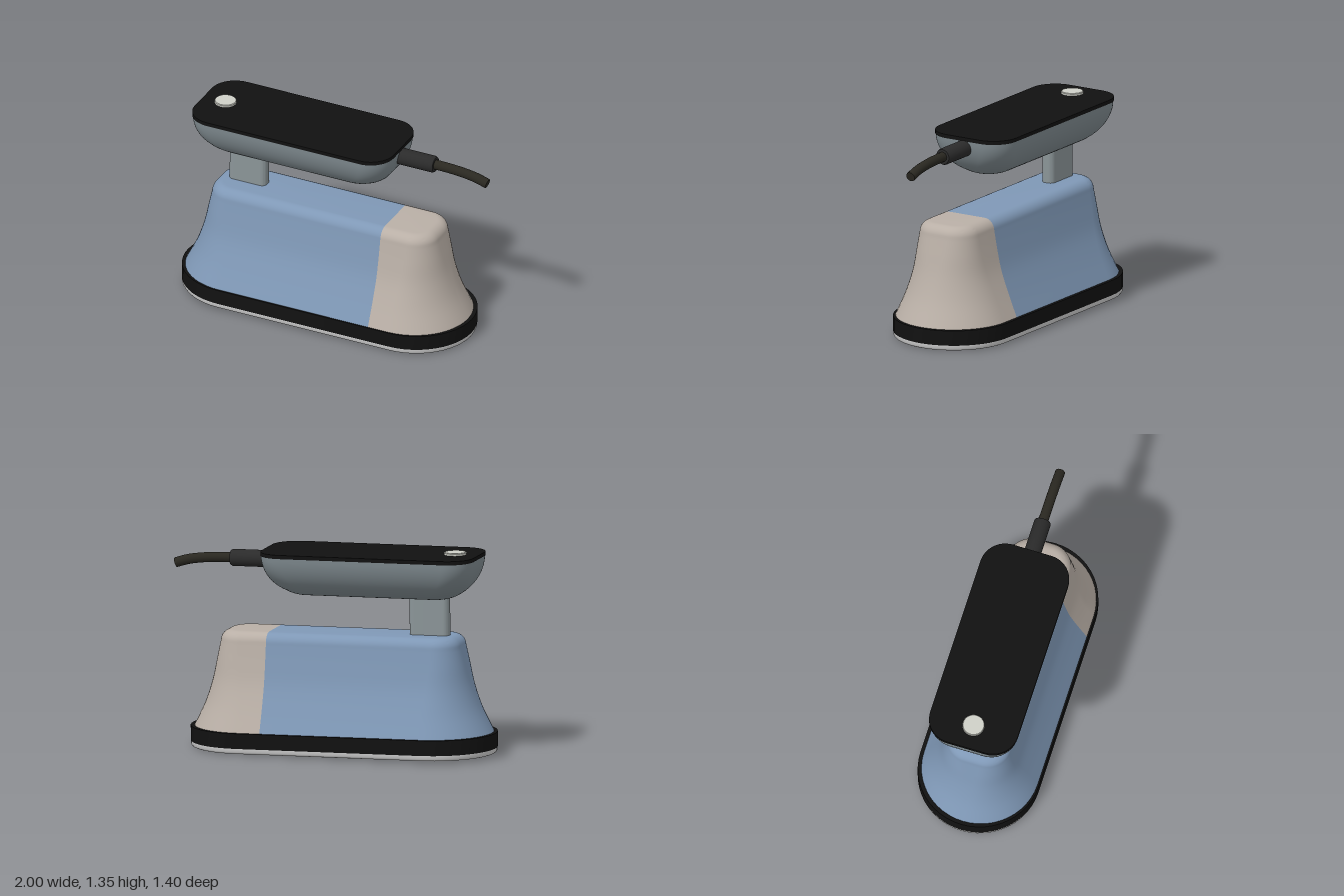
import * as THREE from 'three';
import { toCreasedNormals } from 'three/addons/utils/BufferGeometryUtils.js';

const SEG = 12; // steps per rounded corner

// Half of a rounded rectangle (half length a, half width b, corner radius r),
// from the cut x = x0 around the end on side s (+1 or -1).
function endOutline(a, b, r, x0, s) {
  const pts = [[x0, -s * b]];
  for (const q of [-1, 1]) {
    for (let i = 0; i <= SEG; i++) {
      const t = (q < 0 ? -Math.PI / 2 : 0) + (i / SEG) * Math.PI / 2;
      pts.push([s * (a - r + r * Math.cos(t)), s * (q * (b - r) + r * Math.sin(t))]);
    }
  }
  pts.push([x0, s * b]);
  return pts;
}

const fullOutline = (a, b, r) => [...endOutline(a, b, r, 0, 1), ...endOutline(a, b, r, 0, -1)];

// Skin a stack of outlines, bottom to top, with flat caps.
function loft(rings, ys, closed = true, bottomCap = true) {
  const n = rings[0].length, pos = [], idx = [];
  rings.forEach((ring, j) => ring.forEach(([x, z]) => pos.push(x, ys[j], z)));
  for (let j = 0; j < rings.length - 1; j++) {
    for (let i = 0; i < (closed ? n : n - 1); i++) {
      const k = (i + 1) % n, p = j * n + i, q = j * n + k;
      idx.push(p, p + n, q, q, p + n, q + n);
    }
  }
  const top = (rings.length - 1) * n;
  for (let i = 1; i < n - 1; i++) {
    idx.push(top, top + i + 1, top + i);
    if (bottomCap) idx.push(0, i, i + 1);
  }
  const g = new THREE.BufferGeometry();
  g.setAttribute('position', new THREE.Float32BufferAttribute(pos, 3));
  g.setIndex(idx);
  return toCreasedNormals(g, 0.7);
}

export function createModel() {
  const model = new THREE.Group();
  const iron = new THREE.Group();
  iron.name = 'iron';
  iron.position.set(-0.04, 0.012, 0);
  iron.rotation.set(0, -0.488, -0.01);
  model.add(iron);

  const add = (name, geometry, color, x = 0, y = 0, z = 0) => {
    const mesh = new THREE.Mesh(geometry, new THREE.MeshStandardMaterial({ color, side: THREE.DoubleSide }));
    mesh.name = name;
    mesh.position.set(x, y, z);
    iron.add(mesh);
    return mesh;
  };
  // sections: [y, a, b, r]
  const solid = (sections) => loft(sections.map(([, a, b, r]) => fullOutline(a, b, r)), sections.map((s) => s[0]));

  // Sole plate with a softened lower edge, and the dark band above it
  add('solePlate', solid([
    [0, 1.018, 0.39, 0.39], [0.004, 1.027, 0.399, 0.399], [0.014, 1.033, 0.405, 0.405], [0.036, 1.033, 0.405, 0.405],
  ]), 0xcccccc);
  add('band', solid([[0.036, 1.035, 0.407, 0.407], [0.137, 1.035, 0.407, 0.407]]), 0x111111);

  // Flared body: smooth curve through key sections, then a rounded shoulder
  const keys = [
    [0.137, 1.01, 0.39, 0.39], [0.3, 0.932, 0.322, 0.315], [0.45, 0.88, 0.268, 0.245],
    [0.6, 0.843, 0.235, 0.19], [0.71, 0.817, 0.215, 0.16],
  ];
  const shape = new THREE.CatmullRomCurve3(keys.map((k) => new THREE.Vector3(k[0], k[1], k[2])));
  const radii = new THREE.CatmullRomCurve3(keys.map((k) => new THREE.Vector3(k[0], k[3], 0)));
  const body = [];
  for (let i = 0; i <= 20; i++) {
    const p = shape.getPoint(i / 20);
    body.push([p.x, p.y, p.z, Math.min(radii.getPoint(i / 20).y, p.z)]);
  }
  for (let i = 1; i <= 10; i++) {
    const t = (i / 10) * Math.PI / 2, d = 0.07 * (1 - Math.cos(t)) + 0.004 * (i / 10);
    body.push([0.71 + 0.07 * Math.sin(t), 0.817 - d, 0.215 - d, 0.16 - d]);
  }
  const seam = 0.47;
  for (const [name, s, color] of [['bodyMain', -1, 0x7f98b6], ['bodyNose', 1, 0xb9afa6]]) {
    const rings = body.map(([, a, b, r]) => endOutline(a, b, r, seam, s));
    add(name, loft(rings, body.map((k) => k[0]), false, false), color, 0, 0, 0.006);
  }

  // Post carrying the handle
  add('post', solid([[0.74, 0.135, 0.045, 0.036], [1.08, 0.135, 0.045, 0.036]]), 0x8b9598, -0.595);

  // Boat-shaped handle with a dark lid
  const hx = -0.208, hull = [];
  for (let i = 0; i <= 16; i++) {
    const t = (i / 16) * Math.PI / 2, d = 0.245 * (1 - Math.sin(t));
    const b = 0.298 - d;
    hull.push([1.295 - 0.273 * Math.cos(t), 0.723 - d, b, Math.min(0.17, b)]);
  }
  add('handle', solid(hull), 0x7d888d, hx);
  add('handleLid', solid([[1.294, 0.726, 0.301, 0.17], [1.319, 0.726, 0.301, 0.17]]), 0x111111, hx);

  // Round button on the lid
  const button = [[0, 0], [0.073, 0], [0.073, 0.012], [0.069, 0.017], [0, 0.017]].map((p) => new THREE.Vector2(...p));
  add('button', toCreasedNormals(new THREE.LatheGeometry(button, 40), 0.6), 0xcfd0c8, -0.773, 1.319);

  // Cord sleeve and drooping cord
  const sleeve = [[0, 0], [0.056, 0], [0.056, 0.35], [0.05, 0.362], [0, 0.362]].map((p) => new THREE.Vector2(...p));
  add('cordSleeve', toCreasedNormals(new THREE.LatheGeometry(sleeve, 32), 0.6), 0x2b2b2b, 0.4, 1.243)
    .rotation.z = -Math.PI / 2;
  const path = new THREE.CatmullRomCurve3([
    [0.7, 1.243], [0.82, 1.243], [0.95, 1.236], [1.06, 1.22], [1.142, 1.196],
  ].map(([x, y]) => new THREE.Vector3(x, y, 0)));
  add('cord', new THREE.TubeGeometry(path, 24, 0.033, 16), 0x2a2821);
  const end = add('cordEnd', new THREE.CircleGeometry(0.033, 16), 0x2a2821, 1.142, 1.196);
  end.lookAt(end.position.clone().add(path.getTangent(1)));
  end.rotation.set(0, Math.PI / 2, 0);
  end.rotateX(0.28);

  return model;
}
